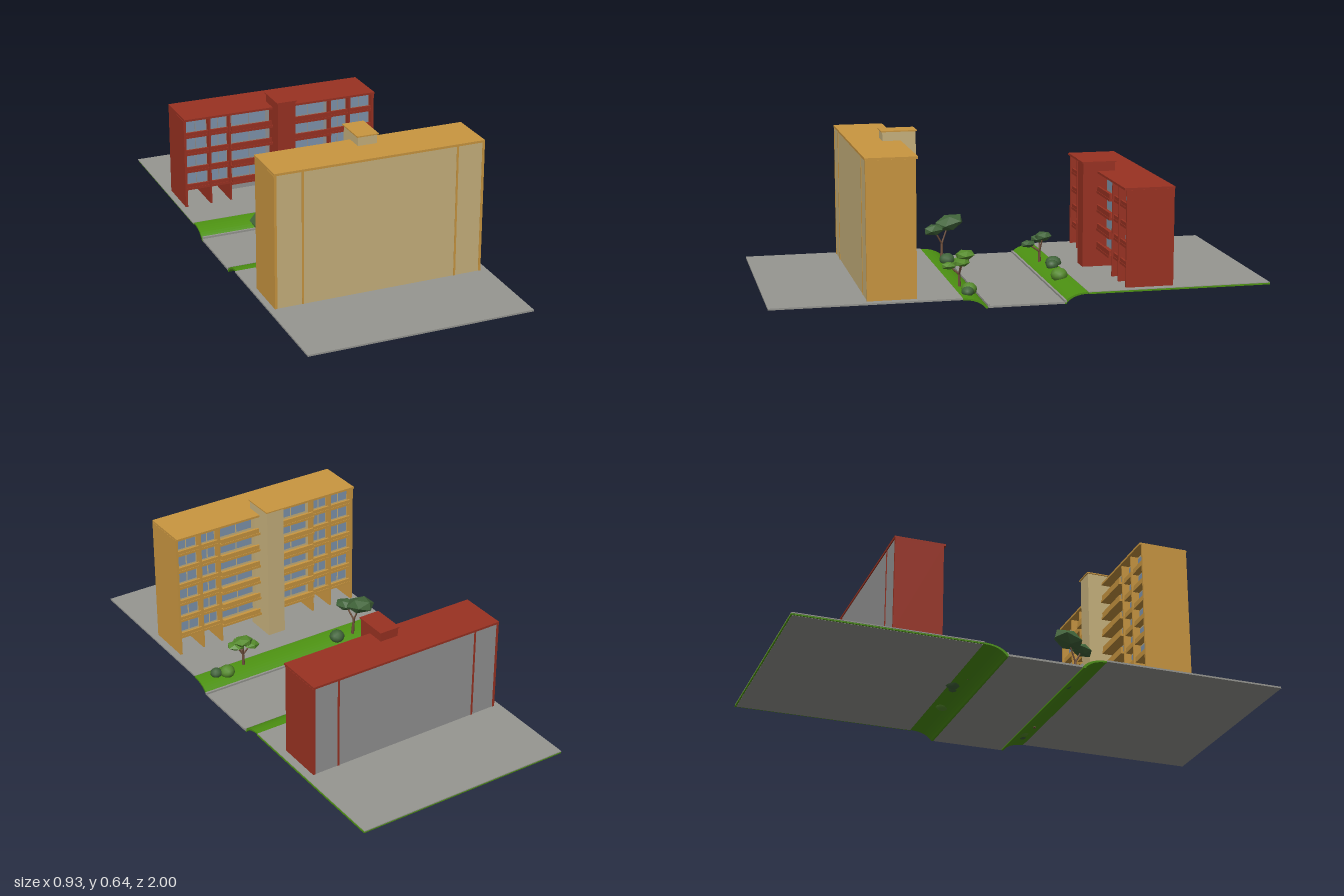
import * as THREE from 'three';

const mat = (name, color, side = THREE.FrontSide) => {
  const m = new THREE.MeshStandardMaterial({ color, side });
  m.name = name;
  return m;
};

export function createModel() {
  const M = {
    paving: mat('paving grey', 0x969691),
    grass: mat('grass green', 0x4d9212, THREE.DoubleSide),
    ochre: mat('ochre', 0xc99640),
    tan: mat('tan', 0xc8b27d),
    red: mat('brick red', 0x9a3222),
    grey: mat('wall grey', 0x939393),
    glass: mat('window blue', 0x7f95ae),
    darkLeaf: mat('dark leaf', 0x41643a),
    lightLeaf: mat('light leaf', 0x558a2c),
    bark: mat('bark', 0x70503c),
  };
  const root = new THREE.Group();
  root.name = 'courtyardBlocks';

  // box given by its min and max corners
  const box = (parent, name, m, x0, x1, y0, y1, z0, z1) => {
    const mesh = new THREE.Mesh(new THREE.BoxGeometry(x1 - x0, y1 - y0, z1 - z0), m);
    mesh.position.set((x0 + x1) / 2, (y0 + y1) / 2, (z0 + z1) / 2);
    mesh.name = name;
    parent.add(mesh);
    return mesh;
  };

  // ground: two raised terraces and a sunken road
  box(root, 'frontTerrace', M.paving, -0.468, 0.456, 0.038, 0.045, 0.25, 1);
  box(root, 'backTerrace', M.paving, -0.468, 0.46, 0.041, 0.045, -1, -0.25);
  box(root, 'backTerraceEdge', M.grass, -0.466, 0.462, 0.036, 0.0425, -1.0, -0.25);
  box(root, 'backTerraceBase', M.paving, -0.46, 0.456, 0.035, 0.04, -0.995, -0.255);
  box(root, 'road', M.paving, -0.462, 0.46, 0.002, 0.01, -0.155, 0.15);

  for (const s of [1, -1]) {
    // curved grass bank, swept along x
    const shape = new THREE.Shape();
    shape.moveTo(-s * 0.25, 0.044);
    shape.quadraticCurveTo(-s * 0.18, 0.042, -s * 0.153, 0.008);
    shape.lineTo(-s * 0.153, 0);
    shape.lineTo(-s * 0.16, 0);
    shape.quadraticCurveTo(-s * 0.185, 0.036, -s * 0.25, 0.037);
    const geo = new THREE.ExtrudeGeometry(shape, { depth: 0.92, bevelEnabled: false, curveSegments: 8 });
    geo.rotateY(Math.PI / 2).translate(-0.462, 0, 0);
    const bank = new THREE.Mesh(geo, M.grass);
    bank.name = 'grassBank';
    root.add(bank);
    box(root, 'kerb', M.paving, -0.46, 0.464, 0.008, 0.018, s > 0 ? 0.145 : -0.161, s > 0 ? 0.154 : -0.152);
  }

  // apartment block: local back wall at z = 0, balcony side towards +z
  const storey = 0.078;
  const base = 0.045;
  const edges = [0.04, 0.23, 0.32, 0.43];
  const block = (name, floors, frame, wall, towerWall) => {
    const g = new THREE.Group();
    g.name = name;
    const top = base + floors * storey;
    box(g, 'backWall', wall, -0.428, 0.428, base, top, 0.004, 0.014);
    box(g, 'groundFloorCore', wall, -0.2, 0.2, base, base + storey, 0.01, 0.09);
    box(g, 'upperFloors', wall, -0.425, 0.425, base + storey, top, 0.012, 0.165);
    box(g, 'roof', frame, -0.434, 0.434, top, top + 0.009, 0, 0.206);

    for (const s of [1, -1]) {
      // full-depth fins, showing as strips on the back wall
      for (const x of edges.slice(1)) {
        const t = x === 0.43 ? 0.005 : 0.004;
        box(g, 'fin', frame, s * x - t, s * x + t, base, top, x === 0.23 ? 0.012 : 0.002, 0.197);
      }
      for (let f = 1; f < floors; f++) {
        const y = base + f * storey;
        for (let b = 0; b < 3; b++) {
          const xs = [s * edges[b], s * edges[b + 1]].sort((p, q) => p - q);
          const balcony = b === 0;
          const out = balcony ? 0.21 : 0.192;
          // floor edge, parapet and window of one bay
          box(g, 'floorEdge', frame, xs[0], xs[1], y - 0.004, y + 0.006, 0.15, out);
          box(g, 'parapet', frame, xs[0] + 0.004, xs[1] - 0.004, y, y + (balcony ? 0.026 : 0.02), out - 0.01, out - 0.002);
          const inset = balcony ? 0.02 : 0.01;
          box(g, 'window', M.glass, xs[0] + inset, xs[1] - inset, y + 0.018, y + 0.066, 0.164, 0.169);
          const mid = (xs[0] + xs[1]) / 2;
          box(g, 'mullion', wall, mid - 0.002, mid + 0.002, y + 0.018, y + 0.066, 0.165, 0.171);
        }
      }
    }
    // stair tower
    box(g, 'stairTower', towerWall, -0.04, 0.04, base, top + 0.045, 0.132, 0.267);
    box(g, 'towerCap', frame, -0.045, 0.045, top + 0.045, top + 0.05, 0.127, 0.272);
    root.add(g);
    return g;
  };
  const tall = block('tallBlock', 7, M.ochre, M.tan, M.tan);
  tall.position.set(-0.009, 0, 0.621);
  tall.rotation.y = Math.PI;
  const low = block('lowBlock', 5, M.red, M.grey, M.red);
  low.position.set(-0.008, 0, -0.608);

  // faceted leaf clump
  const clump = (parent, name, m, [x, y, z], [sx, sy, sz], turn = 0, tilt = 0) => {
    const mesh = new THREE.Mesh(new THREE.IcosahedronGeometry(1, name === 'bush' ? 1 : 0), m);
    mesh.scale.set(sx, sy, sz);
    mesh.position.set(x, y, z);
    mesh.rotation.set(tilt, turn, 0);
    mesh.name = name;
    parent.add(mesh);
  };
  const limb = (parent, name, a, b, r) => {
    const p = new THREE.Vector3(...a), q = new THREE.Vector3(...b);
    const mesh = new THREE.Mesh(new THREE.CylinderGeometry(r * 0.7, r, p.distanceTo(q), 6), M.bark);
    mesh.position.copy(p).lerp(q, 0.5);
    mesh.quaternion.setFromUnitVectors(new THREE.Vector3(0, 1, 0), q.clone().sub(p).normalize());
    mesh.name = name;
    parent.add(mesh);
  };
  // tree: trunk to a fork, then a branch to each clump
  const tree = (name, m, foot, fork, clumps) => {
    const g = new THREE.Group();
    g.name = name;
    limb(g, 'trunk', foot, fork, 0.007);
    clumps.forEach(([pos, size, turn, tilt]) => {
      limb(g, 'branch', fork, pos, 0.004);
      clump(g, 'leafClump', m, pos, size, turn, tilt);
    });
    root.add(g);
  };
  tree('darkTree', M.darkLeaf, [-0.29, 0.03, 0.19], [-0.295, 0.1, 0.188], [
    [[-0.305, 0.187, 0.155], [0.055, 0.035, 0.07], 0.2, 0.25],
    [[-0.275, 0.165, 0.225], [0.035, 0.025, 0.05], 0.3, 0.1],
  ]);
  tree('frontLightTree', M.lightLeaf, [0.24, 0.03, 0.22], [0.24, 0.09, 0.222], [
    [[0.25, 0.17, 0.2], [0.045, 0.02, 0.04], 0.4, 0.1],
    [[0.21, 0.14, 0.205], [0.036, 0.016, 0.036], 0, 0],
    [[0.275, 0.145, 0.22], [0.034, 0.016, 0.04], 0.8, 0],
    [[0.235, 0.125, 0.262], [0.025, 0.016, 0.034], 0.2, 0],
  ]);
  tree('backLightTree', M.darkLeaf, [-0.14, 0.03, -0.2], [-0.14, 0.08, -0.2], [
    [[-0.12, 0.15, -0.21], [0.04, 0.02, 0.036], 0.5, 0.1],
    [[-0.17, 0.13, -0.205], [0.034, 0.018, 0.04], 0, 0],
    [[-0.14, 0.115, -0.15], [0.026, 0.016, 0.036], 0.3, 0],
  ]);

  // bushes on the banks: x, z, radius, leaf colour
  [
    [-0.205, 0.183, 0.033, M.darkLeaf], [0.33, 0.2, 0.032, M.lightLeaf],
    [0.375, 0.215, 0.025, M.darkLeaf], [0.172, -0.205, 0.035, M.lightLeaf],
    [-0.05, -0.237, 0.034, M.darkLeaf], [-0.008, -0.222, 0.026, M.darkLeaf],
  ].forEach(([x, z, r, m]) => clump(root, 'bush', m, [x, 0.05, z], [r, r * 0.85, r], x * 5));

  return root;
}
